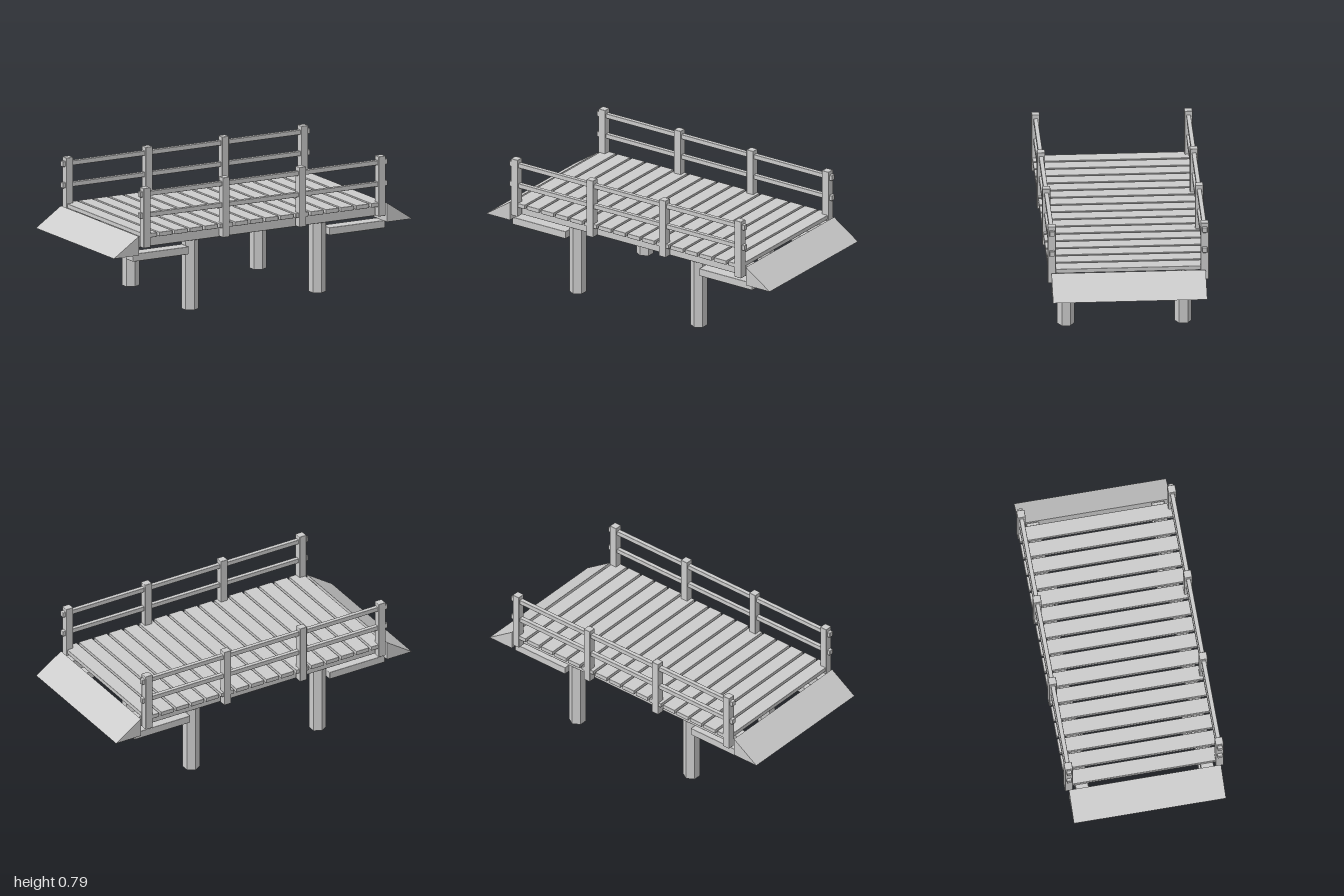
import * as THREE from 'three';
import { RoundedBoxGeometry } from 'three/addons/geometries/RoundedBoxGeometry.js';

export function createModel() {
  const model = new THREE.Group();
  model.name = 'footbridge';
  const grey = new THREE.MeshStandardMaterial({ color: 0xcccccc });
  grey.name = 'plain grey';

  function add(name, geometry, x, y, z) {
    const mesh = new THREE.Mesh(geometry, grey);
    mesh.name = name;
    mesh.position.set(x, y, z);
    model.add(mesh);
    return mesh;
  }
  // Timber with slightly eased edges
  const timber = (w, h, d, r = 0.004) => new RoundedBoxGeometry(w, h, d, 1, r);

  // Deck planks
  const plank = timber(0.088, 0.026, 0.925, 0.003);
  for (let i = 0; i < 16; i++) add('deckPlank', plank, (i - 7.5) * 0.1015, 0.499, 0);

  // Hexagonal legs, corners pointing along z
  const leg = new THREE.CylinderGeometry(0.05, 0.05, 0.43, 6).toNonIndexed();
  leg.computeVertexNormals();

  const stringer = timber(1.66, 0.067, 0.076);
  const post = timber(0.047, 0.357, 0.047);
  const rail = timber(1.62, 0.028, 0.026, 0.003);
  const railEnd = timber(0.03, 0.033, 0.03);
  const brace = timber(0.375, 0.046, 0.081);

  for (const side of [1, -1]) {
    add('stringer', stringer, 0, 0.4535, side * 0.368);

    // Railing
    for (const x of [-0.788, -0.256, 0.256, 0.788]) add('railPost', post, x, 0.6065, side * 0.443);
    for (const y of [0.747, 0.62]) {
      add('handRail', rail, 0, y, side * 0.443);
      for (const end of [1, -1]) add('railEnd', railEnd, end * 0.815, y, side * 0.443);
    }

    // Supports under each end
    for (const end of [1, -1]) {
      add('leg', leg, end * 0.427, 0.215, side * 0.34);
      add('underBrace', brace, end * 0.6585, 0.362, side * 0.362);
    }
  }

  // Wedge ramps
  const wedge = new THREE.Shape([
    new THREE.Vector2(0.832, 0.385),
    new THREE.Vector2(1, 0.385),
    new THREE.Vector2(0.832, 0.498),
  ]);
  const ramp = new THREE.ExtrudeGeometry(wedge, { depth: 0.894, bevelEnabled: false });
  ramp.translate(0, 0, -0.447);
  add('ramp', ramp, 0, 0, 0);
  add('ramp', ramp, 0, 0, 0).rotation.y = Math.PI;

  return model;
}
